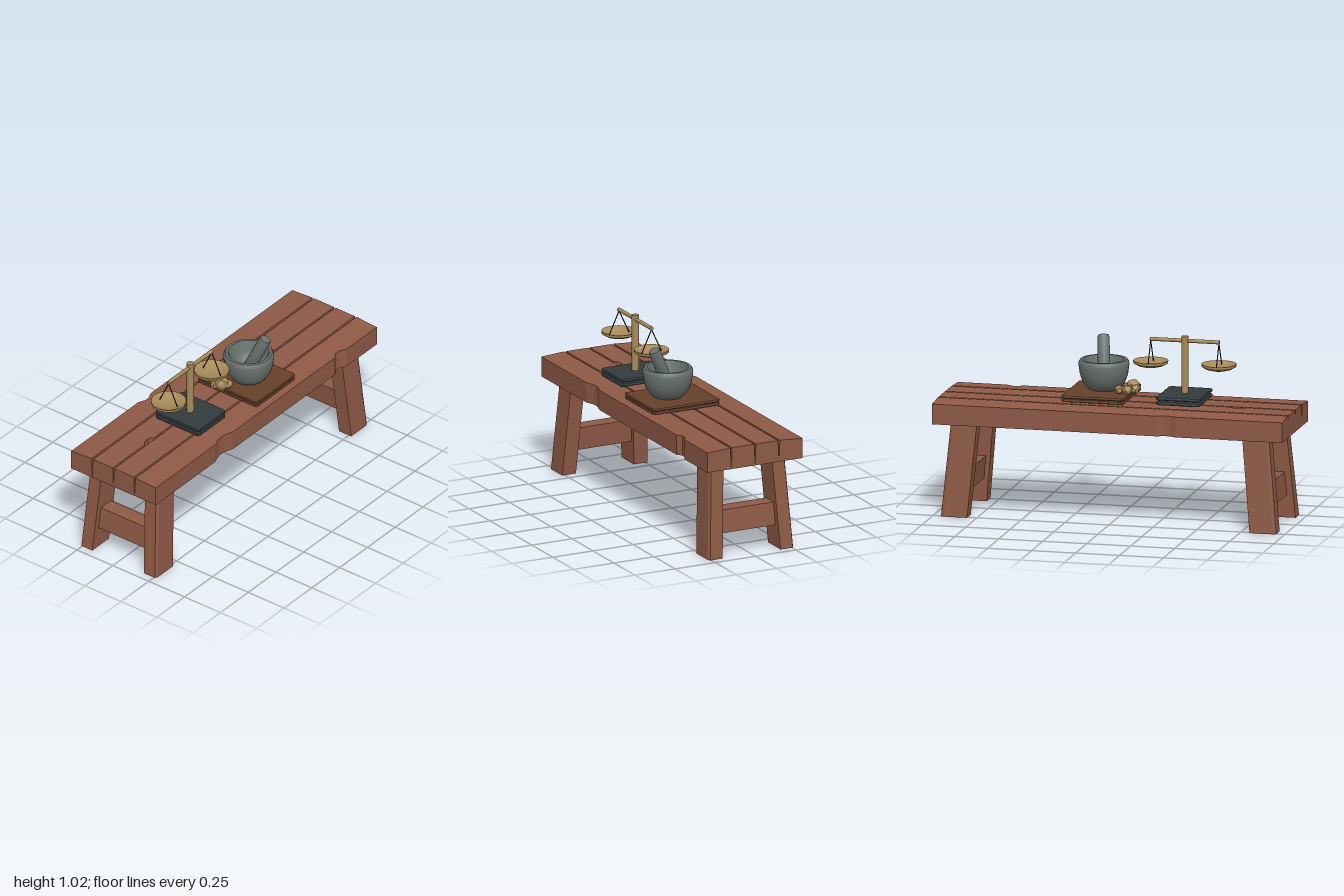
import * as THREE from 'three';
import { toCreasedNormals } from 'three/addons/utils/BufferGeometryUtils.js';

const mat = (name, color, extra = {}) =>
  Object.assign(new THREE.MeshStandardMaterial({ color, ...extra }), { name });

export function createModel() {
  const wood = mat('red brown wood', 0x8f5a46);
  const board = mat('dark brown wood', 0x68412a);
  const slate = mat('dark slate', 0x343c3d);
  const stone = mat('grey stone', 0x69726e, { side: THREE.DoubleSide });
  const brass = mat('brass', 0xa88a58, { side: THREE.DoubleSide });
  const black = mat('black cord', 0x1c2020);

  const root = new THREE.Group();
  root.name = 'tableWithScales';
  const add = (name, geometry, material, x = 0, y = 0, z = 0, parent = root) => {
    const mesh = new THREE.Mesh(geometry, material);
    mesh.name = name;
    mesh.position.set(x, y, z);
    parent.add(mesh);
    return mesh;
  };
  // Extrudes a plan outline given as [x, z] pairs upwards
  const prism = (plan, depth, bevel = 0) => {
    const shape = new THREE.Shape(plan.map(([x, z]) => new THREE.Vector2(x, -z)));
    const geo = new THREE.ExtrudeGeometry(shape, {
      depth: depth - 2 * bevel, bevelEnabled: bevel > 0, bevelSize: bevel,
      bevelThickness: bevel, bevelOffset: -bevel, bevelSegments: 2,
    });
    return geo.rotateX(-Math.PI / 2).translate(0, bevel, 0);
  };
  // Moves each vertex by a rule, then restores flat faces
  const bend = (geo, rule) => {
    const p = geo.attributes.position;
    for (let i = 0; i < p.count; i++) p.setXYZ(i, ...rule(p.getX(i), p.getY(i), p.getZ(i)));
    geo.computeVertexNormals();
    return geo;
  };
  // Round bar between two points
  const rod = (name, a, b, r, material, parent = root, sides = 12) => {
    const from = new THREE.Vector3(...a), dir = new THREE.Vector3(...b).sub(from);
    const mesh = add(name, new THREE.CylinderGeometry(r, r, dir.length(), sides), material, 0, 0, 0, parent);
    mesh.position.copy(from).addScaledVector(dir, 0.5);
    mesh.quaternion.setFromUnitVectors(new THREE.Vector3(0, 1, 0), dir.normalize());
    return mesh;
  };
  const lathe = (pts, segments) =>
    toCreasedNormals(new THREE.LatheGeometry(pts.map(p => new THREE.Vector2(...p)), segments), 0.7);

  // Table top: four planks with worn notches along some edges
  const planks = [
    { x0: -0.295, x1: -0.148, left: [[0.28, 0], [0.32, 0.018], [0.35, 0.018], [0.39, 0]], right: [] },
    { x0: -0.148, x1: 0, left: [], right: [[0.62, 0], [0.65, 0.022], [0.68, 0.02], [0.71, 0]] },
    { x0: 0, x1: 0.148, left: [], right: [] },
    { x0: 0.148, x1: 0.295, left: [], right: [[-0.72, 0], [-0.68, 0.022], [-0.65, 0.022], [-0.62, 0],
      [0.3, 0], [0.36, 0.02], [0.4, 0.02], [0.46, 0]] },
  ];
  planks.forEach(({ x0, x1, left, right }, i) => {
    const plan = [
      [x0, -0.995], ...left.map(([z, d]) => [x0 + d, z]), [x0, 0.995],
      [x1, 0.995], ...right.map(([z, d]) => [x1 - d, z]).reverse(), [x1, -0.995],
    ];
    const mid = (x0 + x1) / 2;
    const geo = bend(prism(plan, 0.125), (x, y, z) => {
      if (y < 0.06) return [x, y, z];
      const outer = Math.abs(x) > 0.26;
      return [outer ? x : mid + (x - mid) * 0.925, outer ? 0.114 : 0.123, z];
    });
    add('plank' + (i + 1), geo, wood, 0, 0.524, 0);
  });

  // Splayed legs with a chamfered outer corner, and an end stretcher
  for (const sz of [1, -1]) {
    for (const sx of [1, -1]) {
      const plan = [[0.18, 0.803], [0.265, 0.803], [0.265, 0.937], [0.256, 0.953], [0.18, 0.953]]
        .map(([x, z]) => [x * sx, z * sz]);
      const geo = bend(prism(plan, 0.526), (x, y, z) =>
        [x - sx * 0.03 * y / 0.526, y, z - sz * 0.049 * y / 0.526]);
      add('leg', geo, wood);
    }
    const bar = bend(new THREE.BoxGeometry(0.36, 0.13, 0.09).toNonIndexed(), (x, y, z) => [x, y, z - sz * y * 0.093]);
    add('stretcher', bar, wood, 0, 0.195, sz * 0.855);
  }

  // Bevelled slabs, stacked in pairs with a narrow groove between
  const slabPair = (name, material, x0, x1, z0, z1, y, height, gap) => {
    const c = 0.012, t = (height - gap) / 2;
    const plan = [[x0 + c, z0], [x0, z0 + c], [x0, z1 - c], [x0 + c, z1],
      [x1 - c, z1], [x1, z1 - c], [x1, z0 + c], [x1 - c, z0]];
    for (const i of [0, 1]) add(name, prism(plan, t, t * 0.4), material, 0, y + i * (t + gap), 0);
  };
  slabPair('mortarBoard', board, -0.145, 0.27, -0.3, 0.055, 0.655, 0.037, 0.003);
  slabPair('scaleBase', slate, -0.112, 0.195, 0.23, 0.48, 0.658, 0.046, 0.007);

  // Mortar and pestle
  add('mortar', lathe([[0, 0], [0.08, 0], [0.098, 0.015], [0.122, 0.05], [0.134, 0.09], [0.141, 0.142],
    [0.139, 0.155], [0.13, 0.168], [0.114, 0.168], [0.108, 0.155], [0.102, 0.11], [0.08, 0.065],
    [0.045, 0.04], [0, 0.033]], 32), stone, 0.085, 0.692, -0.113);
  const pestle = add('pestle', lathe([[0, 0], [0.025, 0.006], [0.035, 0.03], [0.033, 0.262],
    [0.029, 0.272], [0, 0.275]], 20), stone, 0.072, 0.727, -0.108);
  pestle.quaternion.setFromUnitVectors(new THREE.Vector3(0, 1, 0),
    new THREE.Vector3(0.112, 0.25, -0.032).normalize());

  // Balance scale
  const scale = new THREE.Group();
  scale.name = 'balanceScale';
  scale.position.set(0.042, 0, 0.358);
  root.add(scale);
  rod('post', [0, 0.7, 0], [0, 1.022, 0], 0.02, brass, scale, 16);
  rod('beam', [0, 0.997, -0.197], [0, 0.997, 0.197], 0.011, brass, scale);
  for (const s of [1, -1]) {
    const z = s * 0.194;
    add('pan', lathe([[0, 0], [0.04, 0.002], [0.075, 0.012], [0.096, 0.024], [0.097, 0.038],
      [0.09, 0.038], [0.07, 0.025], [0.045, 0.016], [0, 0.013]], 28), brass, 0, 0.838, z, scale);
    for (const sx of [1, -1]) rod('cord', [0, 0.99, z], [sx * 0.062, 0.858, z], 0.003, black, scale, 6);
  }

  // Faceted nuggets beside the mortar
  const nuggets = [[-0.018, 0.715, 0.045, 0.027], [0.035, 0.728, 0.066, 0.037], [0.003, 0.718, 0.085, 0.026],
    [-0.012, 0.712, 0.0, 0.026], [0.05, 0.715, 0.035, 0.03]];
  nuggets.forEach(([x, y, z, r], i) => {
    const geo = bend(new THREE.IcosahedronGeometry(r, 1), (px, py, pz) => {
      const k = 1 + 0.16 * Math.sin(px * 170 + i) * Math.cos(py * 150 + pz * 130);
      return [px * k, py * k, pz * k];
    });
    add('nugget', geo, brass, x, y, z).rotation.set(i, i * 2, 0);
  });

  return root;
}
